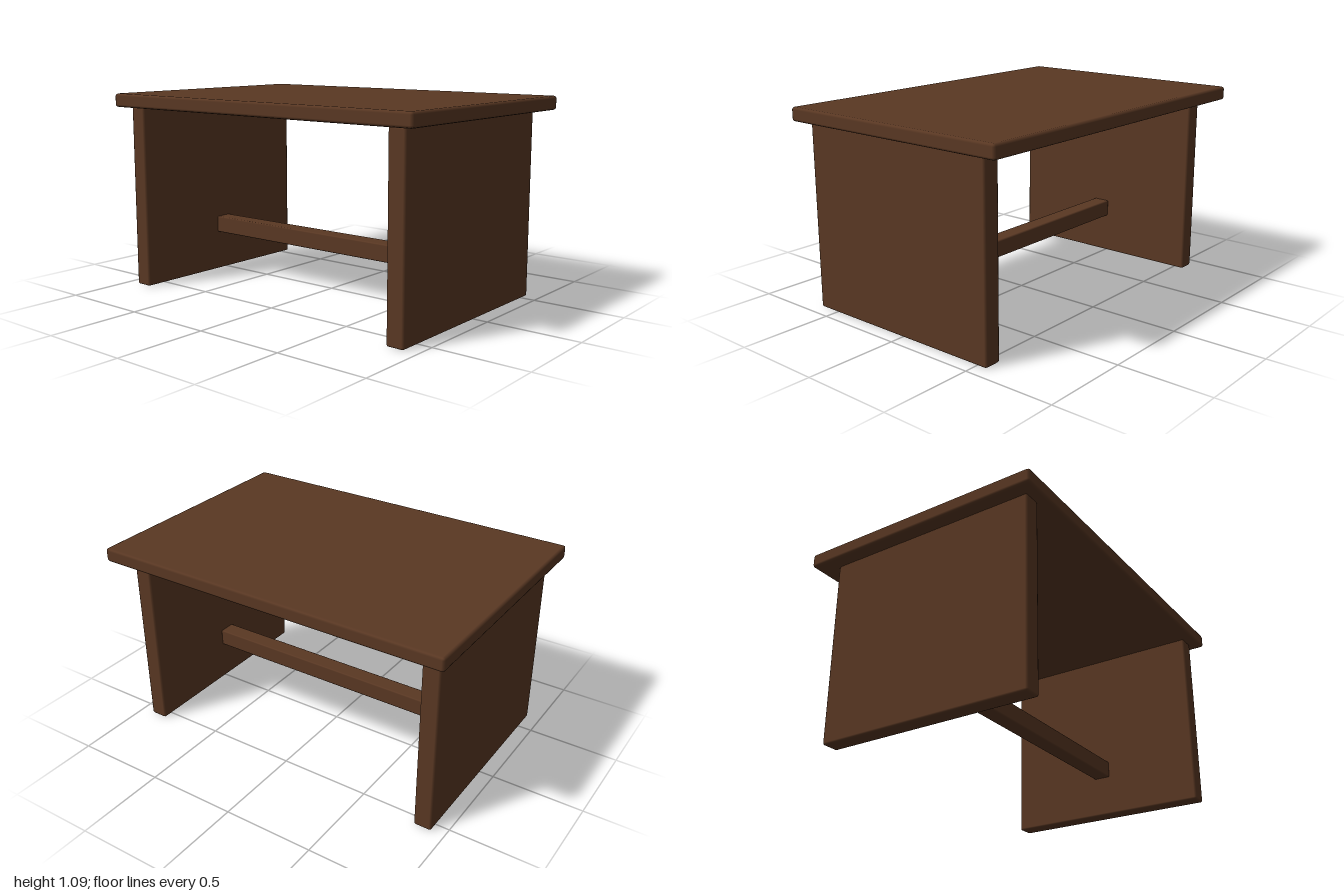
import * as THREE from 'three';
import { RoundedBoxGeometry } from 'three/addons/geometries/RoundedBoxGeometry.js';

export function createModel() {
  const model = new THREE.Group();
  model.name = 'table';

  const wood = new THREE.MeshStandardMaterial({ color: 0x5a3823 });
  wood.name = 'darkWood';

  // Softly bevelled board given by its size and centre
  function board(name, w, h, d, x, y, z, bevel) {
    const mesh = new THREE.Mesh(new RoundedBoxGeometry(w, h, d, 1, bevel), wood);
    mesh.name = name;
    mesh.position.set(x, y, z);
    model.add(mesh);
  }

  const baseX = -0.033; // the base sits slightly off centre under the top
  const topBottom = 1.015;

  board('tableTop', 1.37, 0.075, 2, 0, topBottom + 0.0375, 0, 0.014);

  // Solid panel legs at both ends
  for (const [name, side] of [['frontPanel', 1], ['backPanel', -1]]) {
    board(name, 1.185, topBottom, 0.097, baseX, topBottom / 2, side * 0.8775, 0.011);
  }

  // Stretcher joining the panels
  board('stretcher', 0.098, 0.097, 1.66, baseX, 0.278, 0, 0.008);

  return model;
}
